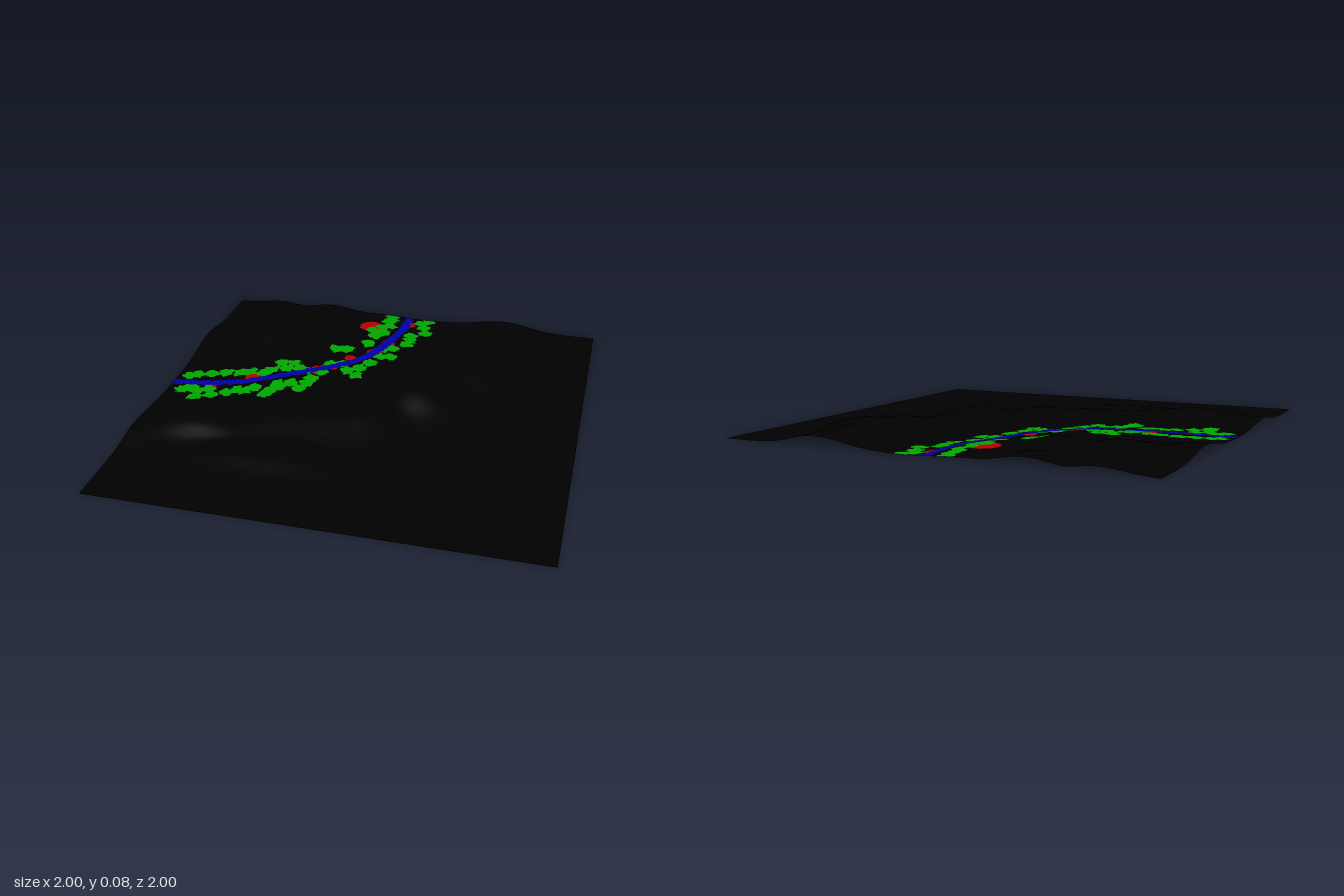
import * as THREE from 'three';

const CELLS = 220;

// Hills: x, z, height, radius in x, radius in z
const HILLS = [
  [-0.70, 0.37, 0.067, 0.28, 0.17], [-0.98, 0.48, 0.03, 0.2, 0.16],
  [-0.50, 0.28, 0.052, 0.20, 0.17], [-0.33, 0.20, 0.052, 0.22, 0.20],
  [-0.16, 0.17, 0.054, 0.18, 0.20], [-0.35, 0.60, 0.048, 0.45, 0.16],
  [0.00, 0.10, 0.061, 0.20, 0.22], [0.22, -0.12, 0.082, 0.20, 0.20],
  [0.45, -0.45, 0.058, 0.22, 0.25], [0.68, -0.50, 0.054, 0.22, 0.32],
  [0.50, -0.75, 0.056, 0.22, 0.25], [0.52, -0.95, 0.044, 0.2, 0.3],
  [-0.98, -0.47, 0.041, 0.22, 0.2], [-0.68, -0.60, 0.055, 0.22, 0.22],
  [-0.45, -0.92, 0.04, 0.16, 0.22], [-0.75, -0.88, 0.035, 0.15, 0.2],
  [-0.40, -0.55, 0.044, 0.16, 0.18], [-0.40, -0.30, 0.028, 0.4, 0.4],
  [-0.20, -0.75, 0.03, 0.18, 0.25],
];

// River course: x, z
const RIVER = [
  [-1.02, 0], [-0.8, -0.03], [-0.65, -0.07], [-0.5, -0.15], [-0.38, -0.22], [-0.25, -0.32],
  [-0.15, -0.43], [-0.08, -0.58], [-0.03, -0.75], [-0.01, -0.88], [-0.01, -1.02],
];

// Tree clumps on both banks: x, z in hundredths
const TREES = [
  -10, -98, -10, -94, -11, -90, -9, -85, -12, -81, -10, -75, -14, -70, -16, -76, -15, -61,
  10, -98, 7, -95, 9, -90, 11, -83, 4, -78, 5, -73, 4, -68, -2, -61, -6, -58, -1, -51, -6, -50,
  -9, -41, -13, -34, -13, -26, -18, -29, -22, -35, -29, -50, -24, -52, -28, -33,
  -38, -23, -42, -25, -46, -29, -52, -28, -48, -23, -55, -20, -58, -17, -65, -17, -70, -15,
  -77, -14, -84, -12, -91, -10, -94, -8, -30, -24, -33, -16, -34, -11, -36, -6, -42, -10,
  -48, -8, -46, -5, -50, -1, -51, 3, -58, -2, -62, 1, -66, 1, -70, 5, -80, 3, -85, 6,
  -88, 4, -93, 6, -84, 12, -77, 8, -90, 2,
];

// Red spots: x, z, radius
const SPOTS = [
  [-0.18, -0.8, 0.062], [-0.62, -0.11, 0.04], [-0.32, -0.25, 0.045], [-0.2, -0.43, 0.03],
  [-0.05, -0.65, 0.035], [0.01, -0.91, 0.03], [-0.8, 0, 0.03], [-0.27, -0.31, 0.04],
  [-0.1, -0.53, 0.035],
];

// Smooth maximum of all hills, fading to flat land at the front and +x sides
function heightAt(x, z) {
  let sum = 0;
  for (const [hx, hz, h, rx, rz] of HILLS) {
    sum += (h * Math.exp(-(((x - hx) / rx) ** 2) - ((z - hz) / rz) ** 2)) ** 4;
  }
  const fade = (1 - THREE.MathUtils.smoothstep(x, 0.55, 0.98))
    * (1 - THREE.MathUtils.smoothstep(z, 0.42, 0.82));
  return Math.sqrt(Math.sqrt(sum)) * fade;
}

const riverPoints = new THREE.CatmullRomCurve3(RIVER.map(([x, z]) => new THREE.Vector3(x, 0, z)))
  .getSpacedPoints(160);

// Which part of the land a spot belongs to
function partAt(x, z) {
  const ragged = 0.004 * (Math.sin(x * 130 + z * 50) + Math.sin(z * 150 - x * 70));
  if (riverPoints.some((p) => Math.hypot(x - p.x, z - p.z) < 0.022 + ragged * 0.6)) return 'river';
  for (let i = 0; i < TREES.length; i += 2) {
    if (Math.hypot(x - TREES[i] / 100, z - TREES[i + 1] / 100) < 0.036 + ragged) return 'trees';
  }
  if (SPOTS.some(([sx, sz, r]) => Math.hypot(x - sx, z - sz) < r)) return 'redSpots';
  return 'ground';
}

export function createModel() {
  const group = new THREE.Group();
  group.name = 'terrain';

  // Raise a fine flat grid into the land surface
  const land = new THREE.PlaneGeometry(2, 2, CELLS, CELLS).rotateX(-Math.PI / 2);
  const pos = land.attributes.position;
  for (let i = 0; i < pos.count; i++) pos.setY(i, heightAt(pos.getX(i), pos.getZ(i)));
  land.computeVertexNormals();

  // Share the triangles out among the coloured parts
  const faces = { ground: [], river: [], trees: [], redSpots: [] };
  const index = land.index;
  for (let i = 0; i < index.count; i += 3) {
    const t = [index.getX(i), index.getX(i + 1), index.getX(i + 2)];
    const x = t.reduce((s, v) => s + pos.getX(v), 0) / 3;
    const z = t.reduce((s, v) => s + pos.getZ(v), 0) / 3;
    faces[partAt(x, z)].push(...t);
  }

  const colors = { ground: 0x000000, river: 0x0000a8, trees: 0x00a800, redSpots: 0xb80000 };
  for (const [name, list] of Object.entries(faces)) {
    const geometry = new THREE.BufferGeometry();
    geometry.setAttribute('position', pos);
    geometry.setAttribute('normal', land.attributes.normal);
    geometry.setIndex(list);
    const material = new THREE.MeshStandardMaterial({ color: colors[name], side: THREE.DoubleSide });
    const mesh = new THREE.Mesh(geometry, material);
    mesh.name = name;
    group.add(mesh);
  }
  return group;
}
